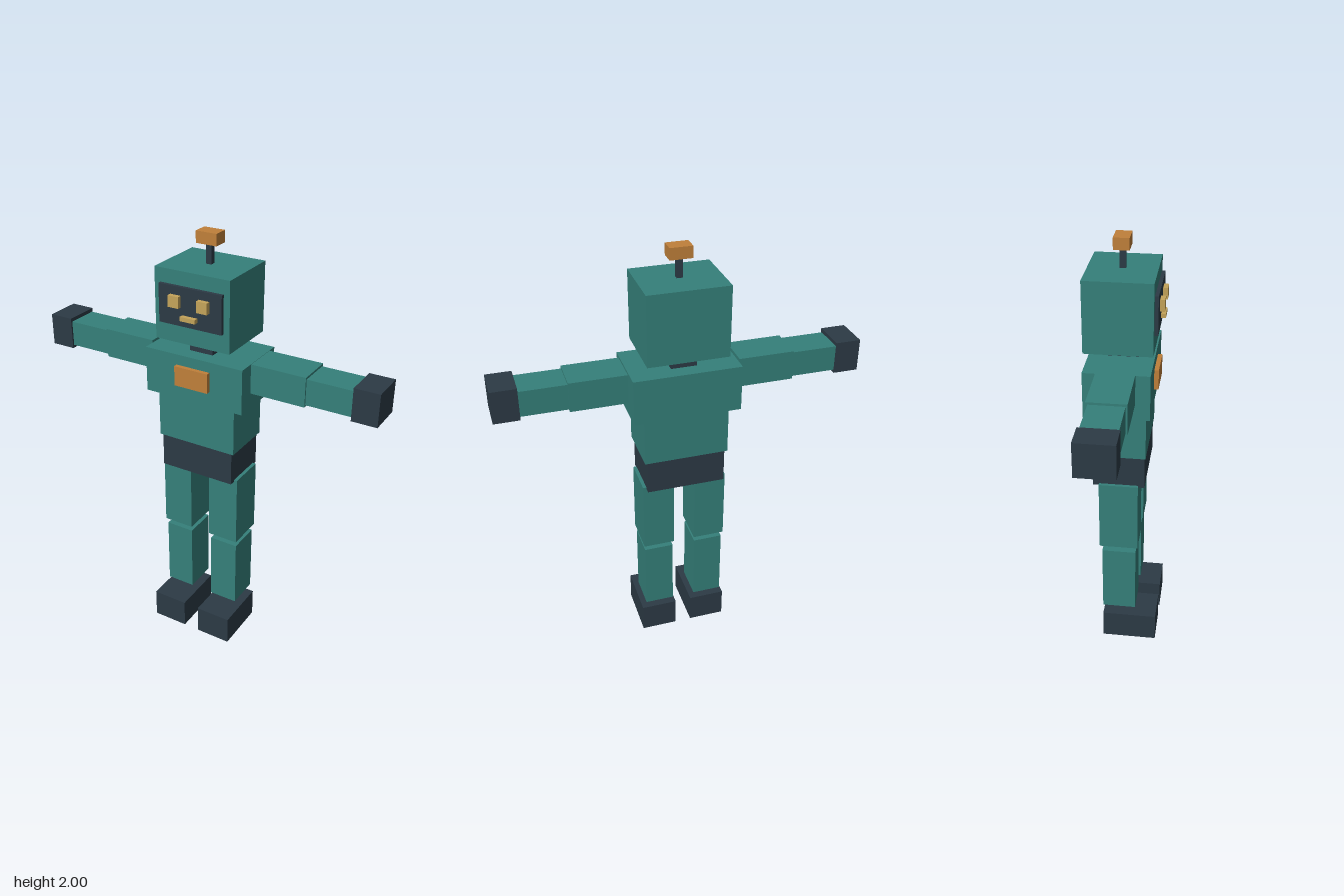
import * as THREE from 'three';

const material = (name, color) => {
  const m = new THREE.MeshStandardMaterial({ color });
  m.name = name;
  return m;
};

export function createModel() {
  const teal = material('teal', 0x35807a);
  const dark = material('dark slate', 0x2c3a45);
  const orange = material('orange', 0xc0803a);
  const yellow = material('pale yellow', 0xc4a45a);

  const model = new THREE.Group();
  model.name = 'robot';

  // Box given by its low and high limits along x, y and z
  function block(name, mat, [x0, x1], [y0, y1], [z0, z1], parent = model) {
    const mesh = new THREE.Mesh(new THREE.BoxGeometry(x1 - x0, y1 - y0, z1 - z0), mat);
    mesh.position.set((x0 + x1) / 2, (y0 + y1) / 2, (z0 + z1) / 2);
    mesh.name = name;
    parent.add(mesh);
  }
  const group = (name) => {
    const g = new THREE.Group();
    g.name = name;
    model.add(g);
    return g;
  };

  // Torso
  const torso = group('torso');
  block('pelvis', dark, [-0.182, 0.182], [0.885, 1.045], [-0.135, 0.1], torso);
  block('abdomen', teal, [-0.194, 0.194], [1.045, 1.27], [-0.141, 0.105], torso);
  block('chest', teal, [-0.243, 0.243], [1.27, 1.48], [-0.163, 0.127], torso);
  block('chestPanel', orange, [-0.083, 0.083], [1.34, 1.432], [0.127, 0.147], torso);
  block('neck', dark, [-0.058, 0.058], [1.48, 1.54], [-0.094, 0.057], torso);

  // Head, face and antenna
  const head = group('head');
  block('skull', teal, [-0.182, 0.182], [1.54, 1.86], [-0.168, 0.131], head);
  block('facePlate', dark, [-0.153, 0.153], [1.625, 1.797], [0.131, 0.147], head);
  block('mouth', yellow, [-0.037, 0.037], [1.657, 1.676], [0.147, 0.168], head);
  block('antennaStem', dark, [-0.013, 0.013], [1.86, 1.948], [-0.031, -0.005], head);
  block('antennaTip', orange, [-0.05, 0.05], [1.948, 2], [-0.054, 0.015], head);

  // Eyes, arms and legs, mirrored
  for (const [side, s] of [['left', 1], ['right', -1]]) {
    const span = (a, b) => (s > 0 ? [a, b] : [-b, -a]);
    block(side + 'Eye', yellow, span(0.044, 0.095), [1.709, 1.76], [0.147, 0.168], head);

    const arm = group(side + 'Arm');
    block('upperArm', teal, span(0.25, 0.505), [1.35, 1.486], [-0.104, 0.064], arm);
    block('forearm', teal, span(0.505, 0.713), [1.358, 1.476], [-0.095, 0.056], arm);
    block('hand', dark, span(0.713, 0.828), [1.344, 1.493], [-0.1, 0.064], arm);

    const leg = group(side + 'Leg');
    block('thigh', teal, span(0.05, 0.198), [0.548, 0.894], [-0.108, 0.072], leg);
    block('shin', teal, span(0.055, 0.193), [0.178, 0.517], [-0.097, 0.062], leg);
    block('foot', dark, span(0.039, 0.211), [0, 0.14], [-0.095, 0.164], leg);
  }

  return model;
}
